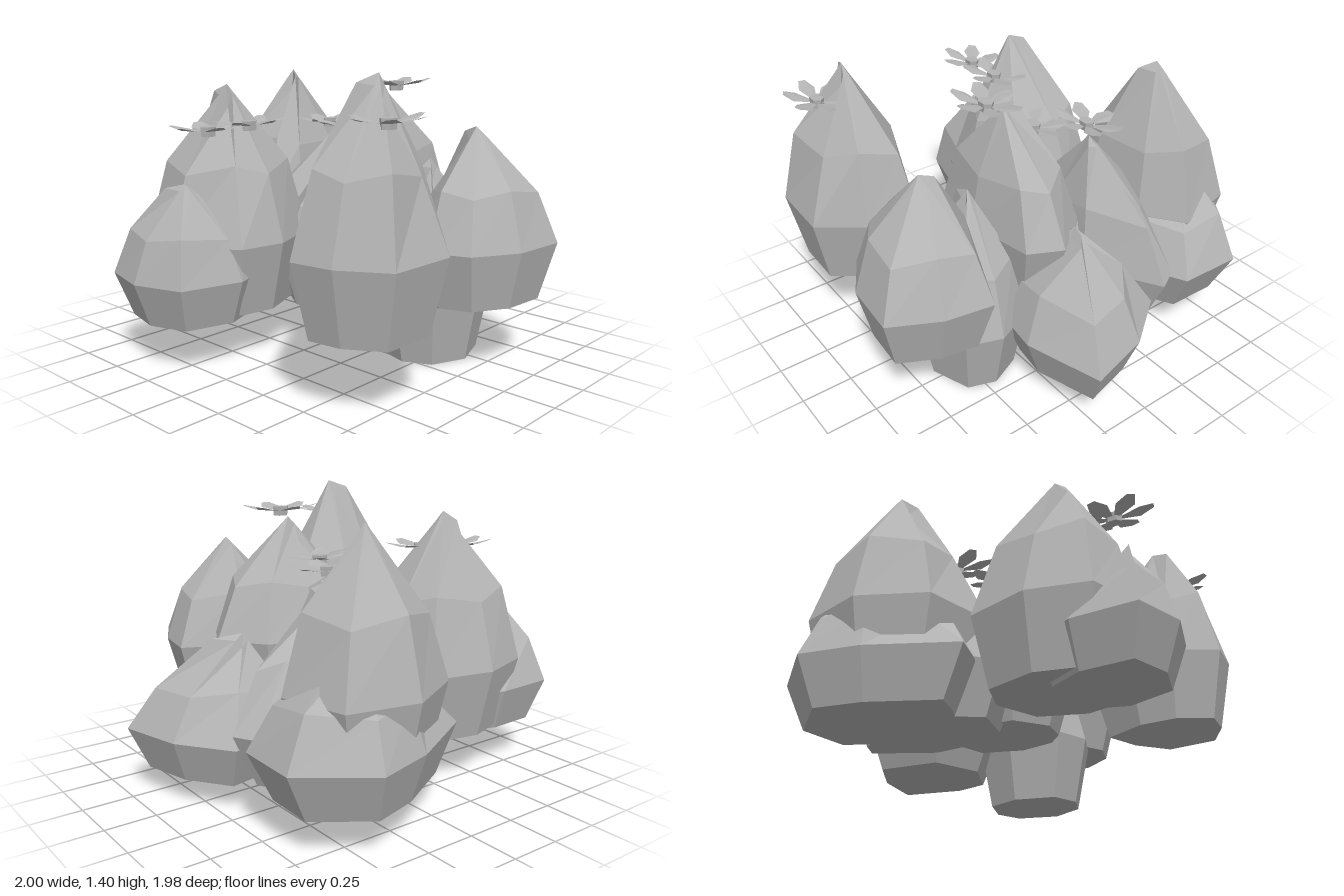
import * as THREE from 'three';

const stone = new THREE.MeshStandardMaterial({ color: 0xb4b4b4, flatShading: true, side: THREE.DoubleSide });
stone.name = 'grey';

// Faceted bulb: base, widest ring (outline of x,z pairs), shoulder, then a tip with a second peak and one creased side
function bulb(name, [yBase, yWide, yTop], [ax, az], { crease, peak }, outline) {
  const pts = [];
  for (let i = 0; i < outline.length; i += 2) pts.push([outline[i], outline[i + 1]]);
  const n = pts.length;
  const cx = pts.reduce((s, p) => s + p[0], 0) / n;
  const cz = pts.reduce((s, p) => s + p[1], 0) / n;
  const mix = (a, b, t) => a + (b - a) * t;
  const toApex = (p, t, y) => [mix(p[0], ax, t), y, mix(p[1], az, t)];
  const yShoulder = mix(yWide, yTop, 0.47);
  const rise = yTop - yWide;
  const crown = (p, i) => {
    if (i === peak) return toApex(p, 0.74, yTop - 0.05 * rise);
    if (i === crease) return toApex(p, 0.95, yTop - 0.15 * rise);
    return toApex(p, 0.9, yTop - 0.07 * rise);
  };
  const rings = [
    pts.map(p => [mix(p[0], cx, 0.22), yBase, mix(p[1], cz, 0.22)]),
    pts.map(p => [p[0], yWide, p[1]]),
    pts.map((p, i) => toApex(p, i === crease ? 0.4 : 0.25, yShoulder + (i % 2 ? 0.03 : -0.03) * rise)),
    pts.map(crown),
  ];
  const verts = [];
  const tri = (a, b, c) => verts.push(...a, ...b, ...c);
  const bottom = [cx, yBase, cz], tip = [ax, yTop, az];
  for (let i = 0; i < n; i++) {
    const j = (i + 1) % n;
    tri(bottom, rings[0][i], rings[0][j]);
    for (let k = 0; k < 3; k++) {
      const lo = rings[k], hi = rings[k + 1];
      tri(lo[i], hi[i], lo[j]);
      tri(lo[j], hi[i], hi[j]);
    }
    tri(rings[3][i], tip, rings[3][j]);
  }
  const geo = new THREE.BufferGeometry();
  geo.setAttribute('position', new THREE.Float32BufferAttribute(verts, 3));
  geo.computeVertexNormals();
  const mesh = new THREE.Mesh(geo, stone);
  mesh.name = name;
  return mesh;
}

// One petal: narrow root, broad shoulder, pointed tip curling up
function petalGeometry() {
  const shape = new THREE.Shape([
    [0.03, -0.014], [0.13, -0.052], [0.195, -0.022], [0.195, 0.022], [0.13, 0.052], [0.03, 0.014],
  ].map(([x, y]) => new THREE.Vector2(x, y)));
  const geo = new THREE.ShapeGeometry(shape).rotateX(-Math.PI / 2);
  const p = geo.attributes.position;
  for (let i = 0; i < p.count; i++) p.setY(i, p.getX(i) ** 2 * 0.8);
  geo.computeVertexNormals();
  return geo;
}

function flower(x, y, z, turn, petal) {
  const group = new THREE.Group();
  group.name = 'flower';
  const heart = new THREE.Mesh(new THREE.CylinderGeometry(0.045, 0.04, 0.045, 6), stone);
  heart.name = 'flowerHeart';
  group.add(heart);
  for (let i = 0; i < 6; i++) {
    const m = new THREE.Mesh(petal, stone);
    m.name = 'petal';
    m.rotation.y = turn + i * Math.PI / 3;
    group.add(m);
  }
  group.position.set(x, y, z);
  group.scale.x = 0.72;
  return group;
}

export function createModel() {
  const model = new THREE.Group();
  model.name = 'bulbCluster';

  // Front bulbs
  model.add(bulb('frontRightTallBulb', [0.24, 0.58, 1.31], [-0.3, 0.45], { crease: 1, peak: 4 },
    [0.02, 0.4, -0.02, 0.62, -0.3, 0.8, -0.58, 0.73, -0.67, 0.45, -0.6, 0.13, -0.38, 0.03, -0.1, 0.12]));
  model.add(bulb('frontRightLowBulb', [0.22, 0.43, 0.87], [-0.27, 0.74], { crease: 4, peak: 3 },
    [-0.02, 0.62, -0.1, 0.91, -0.34, 0.99, -0.59, 0.93, -0.6, 0.62, -0.5, 0.4, -0.3, 0.33, -0.1, 0.42]));
  model.add(bulb('frontLeftBulb', [0.33, 0.67, 1.4], [0.65, 0.46], { crease: 0, peak: 3 },
    [0.94, 0.35, 0.93, 0.68, 0.72, 0.81, 0.52, 0.84, 0.39, 0.64, 0.38, 0.4, 0.49, 0.12, 0.73, 0.19]));

  // Middle bulbs
  model.add(bulb('leftBulb', [0.33, 0.6, 1.13], [0.67, -0.21], { crease: 4, peak: 5 },
    [1, -0.41, 0.98, -0.13, 0.86, 0.08, 0.68, 0.15, 0.46, 0.05, 0.4, -0.25, 0.54, -0.57, 0.77, -0.53]));
  model.add(bulb('centreTallBulb', [0.42, 0.72, 1.28], [0.18, -0.14], { crease: 3, peak: 4 },
    [0.37, -0.15, 0.32, 0.16, 0.1, 0.22, -0.08, 0.1, -0.13, -0.2, -0.05, -0.42, 0.15, -0.57, 0.31, -0.49]));
  model.add(bulb('lowestBulb', [0, 0.32, 0.96], [0.42, -0.2], { crease: 0, peak: 2 },
    [0.71, -0.2, 0.62, 0.02, 0.45, 0.1, 0.27, 0.05, 0.19, -0.2, 0.25, -0.42, 0.45, -0.51, 0.62, -0.45]));
  model.add(bulb('innerFrontBulb', [0.21, 0.43, 0.99], [-0.04, -0.1], { crease: 5, peak: 3 },
    [0.2, -0.1, 0.17, 0.13, 0.07, 0.24, -0.1, 0.28, -0.3, 0.15, -0.32, -0.15, -0.15, -0.4, 0.1, -0.35]));
  model.add(bulb('innerRearBulb', [0.17, 0.42, 1.03], [-0.26, -0.24], { crease: 5, peak: 7 },
    [-0.1, -0.1, -0.2, 0.12, -0.45, 0.2, -0.6, 0, -0.6, -0.4, -0.42, -0.71, -0.31, -0.77, -0.1, -0.42]));

  // Rear bulbs
  model.add(bulb('rightTallBulb', [0.3, 0.64, 1.34], [-0.62, -0.3], { crease: 1, peak: 0 },
    [-0.36, -0.1, -0.42, 0.1, -0.78, 0.05, -0.94, -0.25, -0.87, -0.59, -0.54, -0.67, -0.4, -0.47]));
  model.add(bulb('rightSquatBulb', [0.17, 0.4, 0.86], [-0.66, -0.38], { crease: 2, peak: 5 },
    [-0.35, 0, -0.55, 0.12, -0.71, 0.18, -0.92, -0.2, -1, -0.49, -0.77, -0.8, -0.45, -0.79, -0.3, -0.5]));
  model.add(bulb('rearSquatBulb', [0.13, 0.33, 0.77], [0.04, -0.5], { crease: 5, peak: 0 },
    [0.29, -0.99, 0.4, -0.62, 0.37, -0.4, 0.1, -0.25, -0.2, -0.35, -0.27, -0.73, -0.02, -0.91]));

  // Blossoms near the tips
  const petal = petalGeometry();
  [
    [0.26, 1.3, -0.13], [0.76, 1.21, 0.53], [-0.2, 1.11, 0.65],
    [-0.18, 1.12, 0.42], [-0.03, 1.09, -0.1], [-0.26, 1.08, -0.22],
  ].forEach(([x, y, z], i) => model.add(flower(x, y, z, i * 0.4, petal)));
  return model;
}
